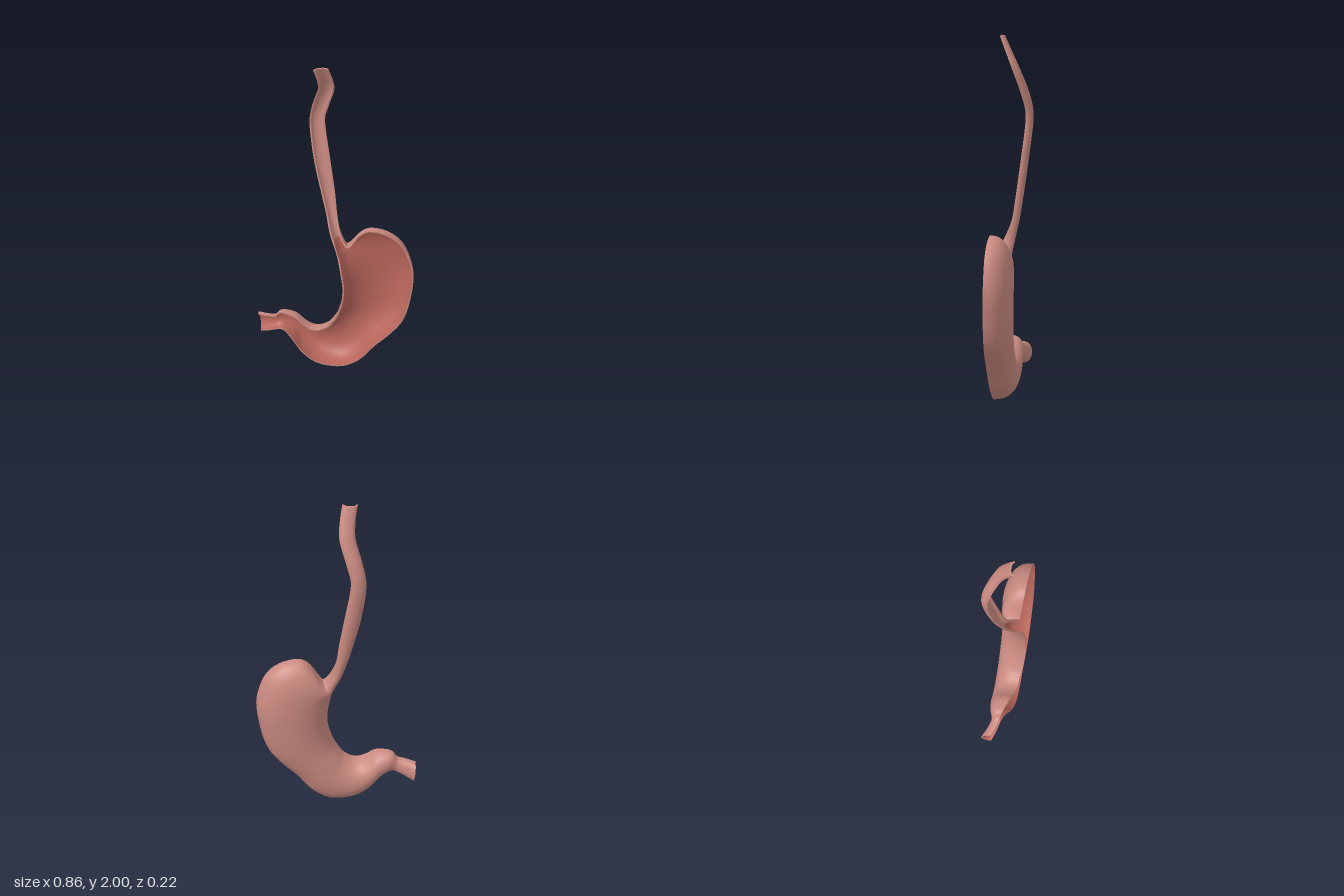
import * as THREE from 'three';

// Stations: [lesser side x, y, greater side x, y, rim z, back z, downward bow]
const gullet = [
  [-0.125, 1.99, -0.04, 2.0, 0.065, 0.04, 0],
  [-0.108, 1.9, -0.022, 1.91, 0.03, -0.002, 0],
  [-0.105, 1.81, -0.015, 1.81, -0.008, -0.045, 0],
  [-0.138, 1.67, -0.05, 1.66, -0.055, -0.095, 0],
  [-0.155, 1.53, -0.07, 1.54, -0.073, -0.112, 0],
  [-0.13, 1.3, -0.042, 1.32, -0.05, -0.088, 0],
  [-0.085, 1.08, -0.012, 1.1, -0.022, -0.06, 0],
  [-0.06, 0.97, 0.0, 0.98, -0.002, -0.042, 0],
  [-0.035, 0.86, 0.02, 0.88, 0.04, -0.02, 0],
];
const body = [
  [-0.008, 0.79, 0.06, 0.802, 0.07, -0.005, 0.02],
  [0.0, 0.768, 0.09, 0.83, 0.08, -0.005, 0.07],
  [0.007, 0.745, 0.14, 0.905, 0.087, -0.015, 0.11],
  [0.014, 0.715, 0.2, 0.935, 0.093, -0.025, 0.1],
  [0.021, 0.675, 0.3, 0.91, 0.1, -0.032, 0.07],
  [0.028, 0.63, 0.38, 0.83, 0.106, -0.036, 0.04],
  [0.038, 0.55, 0.425, 0.67, 0.11, -0.038, 0.02],
  [0.034, 0.47, 0.41, 0.5, 0.112, -0.036, 0],
  [0.018, 0.4, 0.37, 0.355, 0.112, -0.034, 0],
  [0.0, 0.35, 0.3, 0.255, 0.11, -0.033, 0],
  [-0.02, 0.315, 0.215, 0.165, 0.107, -0.034, 0],
  [-0.045, 0.278, 0.14, 0.07, 0.1, -0.036, 0],
  [-0.075, 0.255, 0.06, 0.014, 0.093, -0.038, 0],
];
const outlet = [
  [-0.105, 0.243, -0.02, 0.002, 0.09, -0.04, 0],
  [-0.14, 0.245, -0.11, 0.02, 0.085, -0.042, 0],
  [-0.175, 0.265, -0.185, 0.075, 0.075, -0.045, 0],
  [-0.22, 0.3, -0.235, 0.14, 0.06, -0.045, 0],
  [-0.28, 0.31, -0.275, 0.178, 0.038, -0.04, 0],
  [-0.312, 0.302, -0.305, 0.188, 0.025, -0.03, 0],
  [-0.335, 0.274, -0.328, 0.18, 0.017, -0.028, 0],
  [-0.38, 0.264, -0.37, 0.16, 0.003, -0.045, 0],
  [-0.43, 0.255, -0.415, 0.138, -0.018, -0.072, 0],
];
const stations = [...gullet, ...body, ...outlet];
const spans = stations.length - 1;
const STEPS = 6, ROWS = spans * STEPS, COLS = 32, WALL = 0.009;

const curveOf = (pick) => new THREE.CatmullRomCurve3(
  stations.map((s) => new THREE.Vector3(...pick(s))), false, 'catmullrom', 0.5);
const lesserCurve = curveOf((s) => [s[0], s[1], s[4]]);
const greaterCurve = curveOf((s) => [s[2], s[3], s[4]]);
const depthCurve = curveOf((s) => [s[5], s[6], 0]);

// Point on the half-tube wall: row along the organ, v across it, inset inward
function wallPoint(row, v, inset) {
  const u = row / ROWS;
  const a = lesserCurve.getPoint(u), b = greaterCurve.getPoint(u);
  const { x: back, y: bow } = depthCurve.getPoint(u);
  const c = a.clone().add(b).multiplyScalar(0.5);
  c.y -= bow;
  const rim = a.z;
  a.addScaledVector(c.clone().sub(a).setZ(0).normalize(), inset);
  b.addScaledVector(c.clone().sub(b).setZ(0).normalize(), inset);
  const angle = Math.PI * v;
  const t = (1 - Math.cos(angle)) / 2;
  const p = a.multiplyScalar((1 - t) ** 2)
    .addScaledVector(c, 2 * t * (1 - t))
    .addScaledVector(b, t * t);
  p.z = rim + (back + inset - rim) * Math.pow(Math.max(0, Math.sin(angle)), 0.8);
  return p;
}

// Grid surface from a point rule
function surface(rows, cols, point, flip = false) {
  const positions = [], index = [];
  for (let i = 0; i <= rows; i++)
    for (let j = 0; j <= cols; j++) positions.push(...point(i, j).toArray());
  for (let i = 0; i < rows; i++)
    for (let j = 0; j < cols; j++) {
      const a = i * (cols + 1) + j, b = a + cols + 1;
      if (flip) index.push(a, a + 1, b, b, a + 1, b + 1);
      else index.push(a, b, a + 1, b, b + 1, a + 1);
    }
  const g = new THREE.BufferGeometry();
  g.setAttribute('position', new THREE.Float32BufferAttribute(positions, 3));
  g.setIndex(index);
  g.computeVertexNormals();
  return g;
}

export function createModel() {
  const group = new THREE.Group();
  group.name = 'stomachSection';
  const outerPink = new THREE.MeshStandardMaterial({ color: 0xc98a80, side: THREE.DoubleSide });
  outerPink.name = 'outerPink';
  const liningRed = new THREE.MeshStandardMaterial({ color: 0xb9665b, side: THREE.DoubleSide });
  liningRed.name = 'liningRed';
  const add = (name, geometry, material) => {
    const mesh = new THREE.Mesh(geometry, material);
    mesh.name = name;
    group.add(mesh);
  };

  // Rounded back skin of gullet, stomach and outlet
  add('outerWall', surface(ROWS, COLS, (i, j) => wallPoint(i, j / COLS, 0), true), outerPink);

  // Hollow front: pink in the gullet, red in the stomach
  const lining = surface(ROWS, COLS, (i, j) => wallPoint(i, j / COLS, WALL));
  const split = (gullet.length - 0.5) * STEPS * COLS * 6;
  lining.addGroup(0, split, 0);
  lining.addGroup(split, lining.index.count - split, 1);
  add('innerLining', lining, [outerPink, liningRed]);

  // Cut edges along both sides
  add('lesserRim', surface(ROWS, 1, (i, j) => wallPoint(i, 0, j * WALL)), outerPink);
  add('greaterRim', surface(ROWS, 1, (i, j) => wallPoint(i, 1, (1 - j) * WALL)), outerPink);

  // Cut edges at the two open ends
  add('gulletEnd', surface(1, COLS, (i, j) => wallPoint(0, j / COLS, i * WALL)), outerPink);
  add('outletEnd', surface(1, COLS, (i, j) => wallPoint(ROWS, j / COLS, i * WALL), true), outerPink);
  return group;
}
